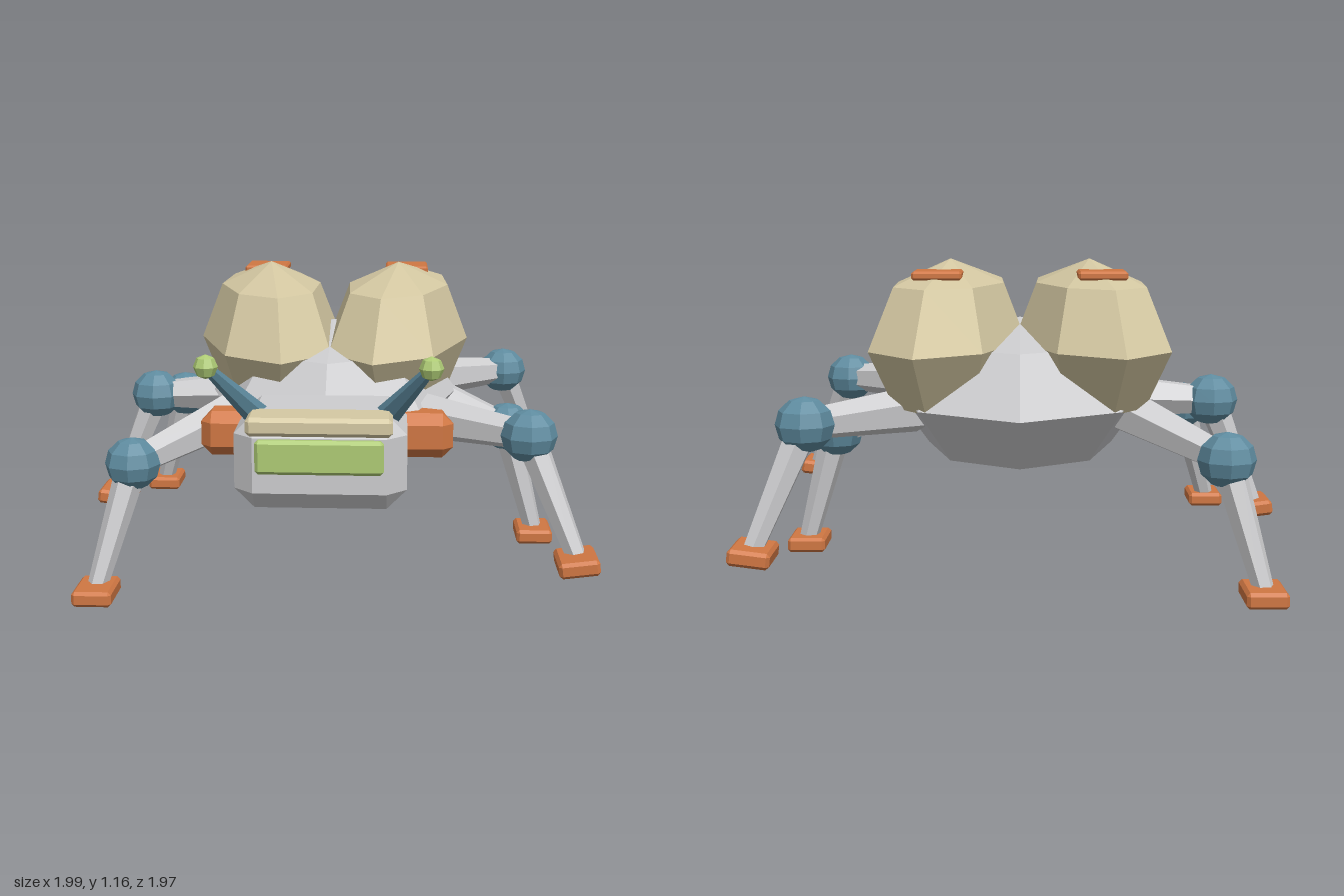
import * as THREE from 'three';
import { ConvexGeometry } from 'three/addons/geometries/ConvexGeometry.js';

const paint = (name, color) => {
  const m = new THREE.MeshStandardMaterial({ color });
  m.name = name;
  return m;
};

// Faceted copy of a geometry: every face gets its own normals
function faceted(geometry) {
  const g = geometry.index ? geometry.toNonIndexed() : geometry;
  g.computeVertexNormals();
  return g;
}

// Box with a straight chamfer of size c on every edge
function chamferBox(w, h, d, c) {
  const pts = [];
  for (const x of [-0.5, 0.5]) for (const y of [-0.5, 0.5]) for (const z of [-0.5, 0.5]) {
    const p = new THREE.Vector3(x * w, y * h, z * d);
    const cut = new THREE.Vector3(x, y, z).multiplyScalar(2 * c);
    for (const axis of ['x', 'y', 'z']) {
      const q = p.clone().sub(cut);
      q[axis] = p[axis];
      pts.push(q);
    }
  }
  return new ConvexGeometry(pts);
}

function ellipsoid(rx, ry, rz, rings = 4) {
  return new THREE.SphereGeometry(1, 8, rings).scale(rx, ry, rz);
}

export function createModel() {
  const model = new THREE.Group();
  model.name = 'beetleRobot';
  const grey = paint('light grey', 0xcdcdcf);
  const tan = paint('sand', 0xd5c9a3);
  const orange = paint('orange', 0xd07743);
  const blue = paint('steel blue', 0x5f8ca0);
  const green = paint('lime green', 0xaecb75);

  function add(name, geometry, material, position, parent = model) {
    const mesh = new THREE.Mesh(faceted(geometry), material);
    mesh.name = name;
    mesh.position.set(...position);
    parent.add(mesh);
    return mesh;
  }

  // Tapered rod from a (radius ra) to b (radius rb)
  function rod(name, a, b, ra, rb, material, parent = model) {
    const from = new THREE.Vector3(...a);
    const dir = new THREE.Vector3(...b).sub(from);
    const mesh = add(name, new THREE.CylinderGeometry(rb, ra, dir.length(), 6), material,
      from.clone().addScaledVector(dir, 0.5).toArray(), parent);
    mesh.quaternion.setFromUnitVectors(new THREE.Vector3(0, 1, 0), dir.normalize());
    return mesh;
  }

  // Body and head
  add('body', ellipsoid(0.51, 0.29, 0.78), grey, [0, 0.64, -0.17]);
  add('head', chamferBox(0.6, 0.335, 0.45, 0.07), grey, [0, 0.588, 0.675]);
  add('visor', chamferBox(0.44, 0.12, 0.06, 0.012), green, [0, 0.622, 0.895]);
  add('brow', chamferBox(0.5, 0.065, 0.165, 0.014), tan, [0, 0.73, 0.853]);

  for (const s of [-1, 1]) {
    // Wing cases, splayed towards the rear
    add('wingCase', ellipsoid(0.29, 0.31, 0.682), tan, [s * 0.265, 0.85, -0.25])
      .rotation.y = -s * 0.14;
    add('wingPatch', chamferBox(0.18, 0.032, 0.2, 0.008), orange, [s * 0.3, 1.11, -0.475]);

    // Shoulder blocks beside the head
    add('shoulderBlock', chamferBox(0.3, 0.17, 0.18, 0.04), orange, [s * 0.325, 0.582, 0.36]);

    // Feelers
    const tip = [s * 0.375, 0.94, 0.945];
    rod('feeler', [s * 0.225, 0.725, 0.73], tip, 0.045, 0.018, blue);
    add('feelerTip', ellipsoid(0.042, 0.042, 0.042), green, tip);
  }

  // Legs: alternate ones are lifted mid-stride
  const legs = [
    { name: 'front', hip: 0.25, knee: 0.49, foot: 0.65, ankle: 0.62, raisedSide: 1 },
    { name: 'middle', hip: -0.18, knee: -0.18, foot: -0.155, ankle: -0.165, raisedSide: -1 },
    { name: 'rear', hip: -0.5, knee: -0.775, foot: -0.89, ankle: -0.88, raisedSide: 1 },
  ];
  for (const leg of legs) for (const s of [-1, 1]) {
    const up = s === leg.raisedSide;
    const group = new THREE.Group();
    group.name = leg.name + (s > 0 ? 'LeftLeg' : 'RightLeg');
    model.add(group);
    const knee = [s * (up ? 0.75 : 0.725), up ? 0.605 : 0.48, leg.knee];
    const footX = s * (up ? 0.92 : 0.845);
    const footY = up ? 0.175 : 0.03;
    rod('upperLeg', [s * 0.38, 0.62, leg.hip], knee, 0.09, 0.055, grey, group);
    rod('lowerLeg', knee, [footX, footY + 0.015, leg.ankle], 0.06, 0.038, grey, group);
    add('knee', ellipsoid(0.105, 0.1, 0.105, 6), blue, knee, group);
    add('foot', chamferBox(0.147, 0.058, 0.195, 0.012), orange, [footX, footY, leg.foot], group)
      .rotation.z = up ? s * 0.13 : 0;
  }
  return model;
}
